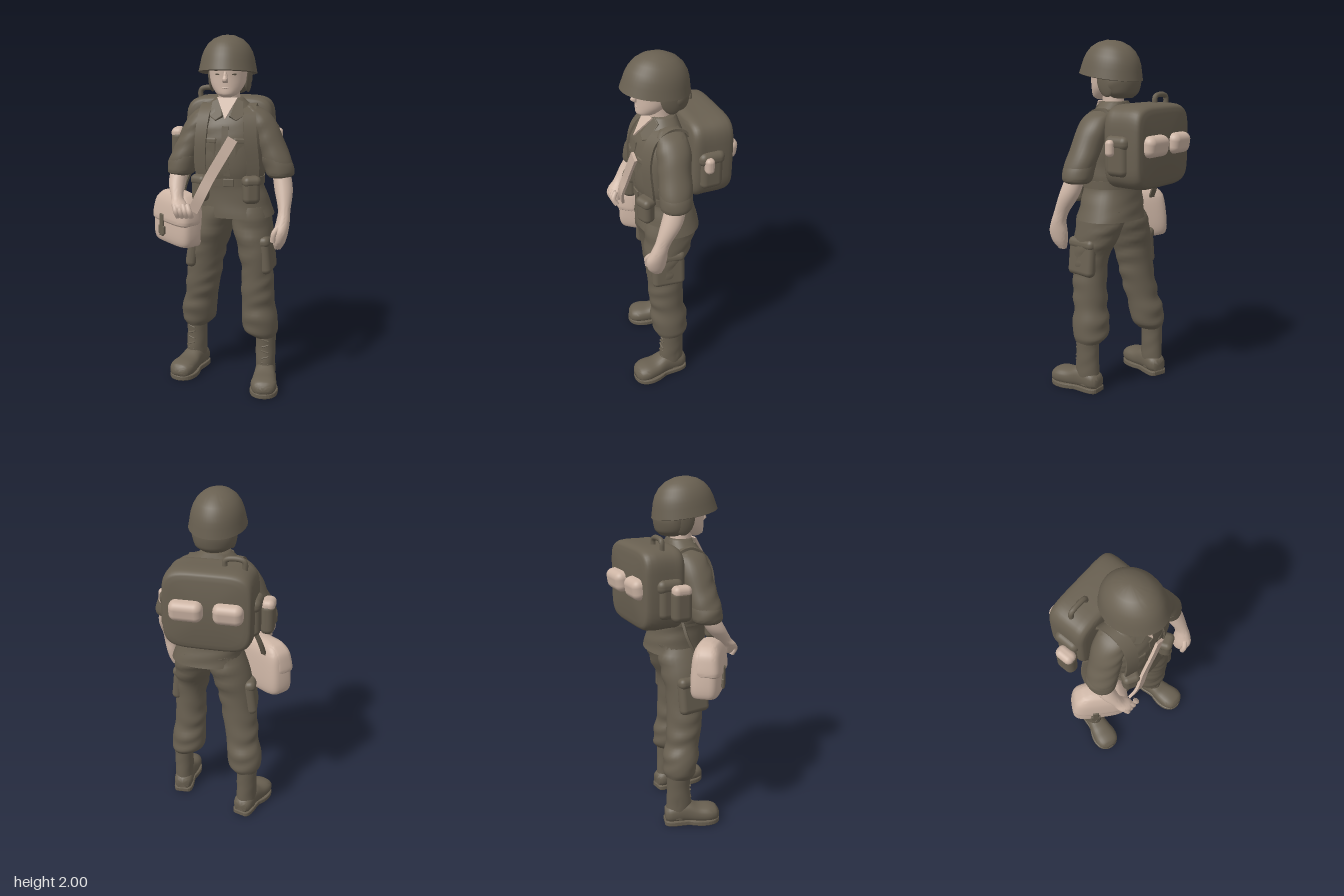
import * as THREE from 'three';
import { toCreasedNormals } from 'three/addons/utils/BufferGeometryUtils.js';
import { RoundedBoxGeometry } from 'three/addons/geometries/RoundedBoxGeometry.js';

const V = (x, y, z) => new THREE.Vector3(x, y, z);
const material = (name, color) => Object.assign(new THREE.MeshStandardMaterial({ color }), { name });

// Closed skin over a list of equal-length rings
function skin(rings, crease = 0.8) {
  const n = rings[0].length, pos = [], idx = [];
  rings.forEach(r => r.forEach(p => pos.push(p.x, p.y, p.z)));
  for (let i = 0; i < rings.length - 1; i++) for (let j = 0; j < n; j++) {
    const a = i * n + j, c = i * n + (j + 1) % n;
    idx.push(a, a + n, c, a + n, c + n, c);
  }
  [0, rings.length - 1].forEach((k, end) => {
    const mid = rings[k].reduce((s, p) => s.add(p), V(0, 0, 0)).divideScalar(n);
    const m = pos.length / 3;
    pos.push(mid.x, mid.y, mid.z);
    for (let j = 0; j < n; j++) {
      const a = k * n + j, b = k * n + (j + 1) % n;
      end ? idx.push(m, b, a) : idx.push(m, a, b);
    }
  });
  const g = new THREE.BufferGeometry();
  g.setAttribute('position', new THREE.Float32BufferAttribute(pos, 3));
  g.setIndex(idx);
  return toCreasedNormals(g, crease);
}

// Smooth body through oval sections [x, y, z, rx, rz]; square > 2 makes it boxier, fold adds cloth creases
function loft(sections, { square = 2, fold = 0, steps = 5, sides = 28 } = {}) {
  const s = sections[0][1] < sections.at(-1)[1] ? sections : [...sections].reverse();
  const path = new THREE.CatmullRomCurve3(s.map(q => V(q[0], q[1], q[2])));
  const size = new THREE.CatmullRomCurve3(s.map(q => V(q[3], q[4], q[1])));
  const rings = [], N = (s.length - 1) * steps, pw = v => Math.sign(v) * Math.abs(v) ** (2 / square);
  for (let i = 0; i <= N; i++) {
    const c = path.getPoint(i / N), r = size.getPoint(i / N), ring = [];
    for (let j = 0; j < sides; j++) {
      const a = j / sides * Math.PI * 2;
      const k = 1 + fold * Math.sin(c.y * 55 + 3 * Math.sin(a + c.y * 7)) * (0.5 + 0.5 * Math.sin(a * 2 + c.y * 11));
      ring.push(V(c.x + pw(Math.cos(a)) * r.x * k, c.y, c.z + pw(Math.sin(a)) * r.y * k));
    }
    rings.push(ring);
  }
  return skin(rings, 1);
}

// Flat band along a path, widened along direction u
function band(points, u, width, thick) {
  const curve = new THREE.CatmullRomCurve3(points.map(p => V(...p))), rings = [];
  for (let i = 0; i <= 24; i++) {
    const c = curve.getPoint(i / 24), t = curve.getTangent(i / 24);
    const a = u.clone().normalize(), v = a.clone().cross(t).normalize().multiplyScalar(thick / 2);
    a.multiplyScalar(width / 2);
    rings.push([[1, 1], [-1, 1], [-1, -1], [1, -1]].map(([p, q]) => c.clone().addScaledVector(a, p).addScaledVector(v, q)));
  }
  return skin(rings);
}

const box = (w, h, d, r = 0.015) => new RoundedBoxGeometry(w, h, d, 4, r);
const ball = (rx, ry, rz) => new THREE.SphereGeometry(1, 28, 18).scale(rx, ry, rz);
const tube = (pts, r) => new THREE.TubeGeometry(new THREE.CatmullRomCurve3(pts.map(p => V(...p))), 20, r, 8);

export function createModel() {
  const root = new THREE.Group();
  const olive = material('olive cloth', 0x696051), flesh = material('skin', 0xd0b8a8);
  const canvas = material('pale canvas', 0xcdb5a5), dark = material('dark brown', 0x5f5648);
  const add = (name, geo, mat, p = [0, 0, 0], r = [0, 0, 0], parent = root) => {
    const m = new THREE.Mesh(geo, mat);
    m.name = name; m.position.set(...p); m.rotation.set(...r);
    parent.add(m);
    return m;
  };
  const group = (name, p, ry) => {
    const g = new THREE.Group();
    g.name = name; g.position.set(...p); g.rotation.y = ry;
    root.add(g);
    return g;
  };

  // Helmet, head and hair
  const bowl = [[0, 0.015], [0.135, -0.005], [0.15, -0.024], [0.16, -0.02], [0.156, 0], [0.15, 0.03], [0.144, 0.06], [0.132, 0.095],
    [0.111, 0.13], [0.08, 0.158], [0.04, 0.176], [0, 0.181]].map(p => new THREE.Vector2(...p));
  add('helmet', toCreasedNormals(new THREE.LatheGeometry(bowl, 48).scale(1, 1, 1.2), 0.9), olive, [0.036, 1.82, 0.08], [-0.13, 0, 0]);
  add('head', loft([[0.04, 1.672, 0.142, 0.025, 0.03], [0.04, 1.687, 0.133, 0.055, 0.06], [0.04, 1.73, 0.104, 0.088, 0.09],
    [0.04, 1.78, 0.078, 0.103, 0.117], [0.04, 1.84, 0.072, 0.107, 0.125], [0.04, 1.88, 0.07, 0.09, 0.11]]), flesh);
  add('nose', loft([[0.04, 1.752, 0.194, 0.014, 0.012], [0.04, 1.765, 0.204, 0.016, 0.018], [0.04, 1.79, 0.193, 0.011, 0.016],
    [0.04, 1.825, 0.181, 0.009, 0.012]]), flesh);
  add('lips', ball(0.026, 0.009, 0.012), flesh, [0.04, 1.725, 0.184]);
  for (const s of [-1, 1]) {
    add('eye', ball(0.017, 0.007, 0.004), dark, [0.04 + s * 0.042, 1.796, 0.182], [0, s * 0.4, 0]);
    add('brow', ball(0.024, 0.005, 0.004), dark, [0.04 + s * 0.044, 1.818, 0.184], [0, s * 0.4, -s * 0.1]);
    add('sideHair', ball(0.02, 0.085, 0.058), olive, [0.04 + s * 0.1, 1.775, 0.038], [0.25, 0, 0]);
  }
  add('hair', loft([[0.04, 1.685, -0.008, 0.065, 0.05], [0.04, 1.71, -0.003, 0.103, 0.082], [0.04, 1.77, 0, 0.118, 0.097],
    [0.04, 1.84, 0.01, 0.118, 0.1]], { fold: 0.03 }), olive);
  add('neck', loft([[0.04, 1.56, 0.06, 0.075, 0.07], [0.04, 1.64, 0.06, 0.062, 0.062], [0.04, 1.73, 0.07, 0.06, 0.06]]), flesh);

  // Jacket with belt, collar, pockets and placket
  add('jacket', loft([[0.09, 1.01, 0.042, 0.206, 0.17], [0.075, 1.1, 0.047, 0.19, 0.157], [0.055, 1.19, 0.053, 0.178, 0.148],
    [0.045, 1.27, 0.064, 0.194, 0.154], [0.04, 1.4, 0.073, 0.204, 0.145], [0.04, 1.5, 0.072, 0.196, 0.132], [0.04, 1.58, 0.06, 0.168, 0.107],
    [0.04, 1.63, 0.053, 0.115, 0.084], [0.04, 1.665, 0.048, 0.076, 0.068]], { square: 2.3, fold: 0.015, sides: 40 }), olive);
  add('belt', loft([[0.057, 1.19, 0.053, 0.184, 0.155], [0.055, 1.235, 0.055, 0.187, 0.156]], { square: 2.3, sides: 40 }), olive);
  add('buckle', box(0.06, 0.045, 0.014, 0.005), olive, [0.06, 1.212, 0.211]);
  add('placket', band([[0.052, 1.25, 0.211], [0.045, 1.33, 0.217], [0.04, 1.4, 0.218], [0.04, 1.52, 0.2]], V(1, 0, 0), 0.035, 0.01), olive);
  const throat = new THREE.Shape([[-0.056, 0.07], [0, -0.068], [0.056, 0.07]].map(p => new THREE.Vector2(...p)));
  add('throat', new THREE.ExtrudeGeometry(throat, { depth: 0.009, bevelEnabled: false }), flesh, [0.04, 1.608, 0.164], [-0.66, 0, 0]);
  const lapel = new THREE.Shape([[0.042, 0.07], [0.085, 0.055], [0.092, -0.03], [0.056, -0.062], [0.021, -0.042]].map(p => new THREE.Vector2(...p)));
  for (const s of [-1, 1]) {
    const collar = add('collar', new THREE.ExtrudeGeometry(lapel, { depth: 0.012, bevelSize: 0.004, bevelThickness: 0.004, bevelSegments: 2 }),
      olive, [0.04, 1.605, 0.15], [-0.62, s * 0.3, 0]);
    if (s < 0) collar.geometry.rotateY(Math.PI).translate(0, 0, 0.012);
    add('chestPocket', box(0.115, 0.12, 0.026), olive, [0.04 + s * 0.1, 1.385, 0.19], [0, s * 0.3, 0]);
    add('pocketFlap', box(0.122, 0.04, 0.034), olive, [0.04 + s * 0.1, 1.44, 0.187], [-0.08, s * 0.3, 0]);
    // Pack harness over each shoulder
    add('packStrap', band([[0.04 + s * 0.13, 1.5, -0.07], [0.04 + s * 0.12, 1.605, -0.01], [0.04 + s * 0.12, 1.625, 0.07], [0.04 + s * 0.125, 1.57, 0.154],
      [0.04 + s * 0.135, 1.46, 0.191], [0.045 + s * 0.145, 1.3, 0.187], [0.05 + s * 0.135, 1.21, 0.176]], V(1, 0, -0.35 * s), 0.07, 0.014), olive);
    // Sleeve with rolled cuff
    const q = a => a.map(([x, ...rest]) => [0.05 + s * x, ...rest]);
    add('sleeve', loft(q([[0.28, 1.25, 0.088, 0.07, 0.078], [0.266, 1.32, 0.085, 0.081, 0.088], [0.22, 1.42, 0.072, 0.083, 0.09],
      [0.173, 1.53, 0.06, 0.081, 0.09], [0.135, 1.59, 0.056, 0.065, 0.08], [0.1, 1.625, 0.053, 0.03, 0.05]]), { fold: 0.035 }), olive);
    add('cuff', loft(q([[0.28, 1.235, 0.092, 0.062, 0.07], [0.28, 1.25, 0.09, 0.077, 0.085], [0.27, 1.3, 0.086, 0.084, 0.09],
      [0.252, 1.345, 0.083, 0.083, 0.088]]), { fold: 0.03 }), olive);
  }

  // Bare forearms and hands
  add('leftForearm', loft([[0.335, 1.28, 0.09, 0.05, 0.055], [0.355, 1.17, 0.125, 0.051, 0.06], [0.365, 1.06, 0.18, 0.034, 0.045],
    [0.362, 1.01, 0.2, 0.037, 0.047], [0.352, 0.95, 0.212, 0.04, 0.058], [0.342, 0.89, 0.21, 0.034, 0.048], [0.335, 0.85, 0.2, 0.018, 0.026]]), flesh);
  add('leftThumb', tube([[0.35, 0.99, 0.23], [0.32, 0.95, 0.255], [0.312, 0.9, 0.25]], 0.016), flesh);
  add('rightForearm', loft([[-0.235, 1.28, 0.09, 0.05, 0.055], [-0.243, 1.19, 0.14, 0.047, 0.055], [-0.23, 1.12, 0.2, 0.034, 0.042],
    [-0.21, 1.08, 0.24, 0.045, 0.042], [-0.19, 1.03, 0.245, 0.03, 0.03]]), flesh);
  for (let i = 0; i < 4; i++)
    add('rightFinger', tube([[-0.235 + i * 0.024, 1.09, 0.255], [-0.222 + i * 0.025, 1.055, 0.275], [-0.212 + i * 0.025, 1.02, 0.26]], 0.015), flesh);

  // Trousers gathered above the boots
  add('leftTrouser', loft([[0.255, 0.295, 0.085, 0.066, 0.08], [0.232, 0.33, 0.085, 0.099, 0.102], [0.225, 0.41, 0.088, 0.104, 0.107],
    [0.218, 0.5, 0.095, 0.094, 0.098], [0.214, 0.58, 0.102, 0.096, 0.102], [0.212, 0.68, 0.104, 0.09, 0.103], [0.203, 0.8, 0.103, 0.1, 0.113],
    [0.178, 0.94, 0.068, 0.115, 0.142], [0.165, 1.07, 0.05, 0.11, 0.145]], { fold: 0.05 }), olive);
  add('rightTrouser', loft([[-0.17, 0.295, -0.05, 0.066, 0.078], [-0.16, 0.335, -0.045, 0.098, 0.094], [-0.152, 0.42, -0.033, 0.104, 0.102],
    [-0.135, 0.5, -0.015, 0.096, 0.098], [-0.125, 0.58, 0, 0.102, 0.102], [-0.108, 0.68, 0.012, 0.102, 0.105], [-0.09, 0.8, 0.025, 0.11, 0.115],
    [-0.05, 0.94, 0.035, 0.118, 0.142], [0, 1.07, 0.045, 0.11, 0.145]], { fold: 0.05 }), olive);
  for (const [x, z, t, r] of [[0.268, 0.11, 0.1, -0.12], [-0.174, 0.035, -0.14, 0.12]]) {
    add('cargoPocket', box(0.064, 0.2, 0.19, 0.03), olive, [x, 0.79, z], [0, r, t]);
    add('cargoFlap', box(0.07, 0.065, 0.196, 0.03), olive, [x * 0.98, 0.875, z], [0, r, t]);
  }

  // Boots
  for (const [name, p, ry] of [['leftBoot', [0.262, 0, 0.08], 0.06], ['rightBoot', [-0.175, 0, -0.065], -0.32]]) {
    const boot = group(name, p, ry);
    add('shaft', loft([[0, 0.04, 0, 0.056, 0.07], [0, 0.13, 0.007, 0.057, 0.075], [0, 0.22, 0.004, 0.058, 0.068], [0, 0.33, 0.004, 0.061, 0.071]],
      { fold: 0.02 }), olive, undefined, undefined, boot);
    add('foot', loft([[0, -0.075, -0.06, 0.04, 0.04], [0, -0.05, -0.065, 0.056, 0.052], [0, 0.05, -0.075, 0.058, 0.065], [0, 0.12, -0.06, 0.068, 0.052],
      [0, 0.19, -0.057, 0.074, 0.048], [0, 0.23, -0.052, 0.058, 0.038], [0, 0.247, -0.045, 0.03, 0.02]], { square: 2.4 }),
      olive, undefined, [Math.PI / 2, 0, 0], boot);
    const sole = new THREE.Shape().moveTo(-0.035, -0.074);
    sole.bezierCurveTo(-0.07, -0.06, -0.048, 0.03, -0.053, 0.07).bezierCurveTo(-0.095, 0.16, -0.075, 0.245, 0, 0.246);
    sole.bezierCurveTo(0.075, 0.245, 0.095, 0.16, 0.053, 0.07).bezierCurveTo(0.048, 0.03, 0.07, -0.06, 0.035, -0.074);
    add('sole', new THREE.ExtrudeGeometry(sole, { depth: 0.018, bevelSize: 0.006, bevelThickness: 0.006, bevelSegments: 2 }),
      olive, [0, 0.024, 0], [Math.PI / 2, 0, 0], boot);
    for (let i = 0; i < 5; i++)
      add('lace', box(0.045, 0.009, 0.012, 0.004), olive, [0, 0.14 + i * 0.035, 0.074 - i * 0.001], [0, 0, i % 2 ? 0.3 : -0.3], boot);
  }

  // Backpack with rounded shoulders, carry handle, back flaps and side pouches
  const pack = [[-0.28, 0.2, 0.18], [-0.271, 0.235, 0.212], [-0.24, 0.248, 0.228], [-0.12, 0.25, 0.229],
    [-0.07, 0.25, 0.228], [-0.045, 0.235, 0.212], [-0.038, 0.21, 0.187]];
  add('backpack', loft(pack.map(([z, w, h]) => [0.02, z, -1.43, w, h]), { square: 5, sides: 48, steps: 3 }), olive, undefined, [Math.PI / 2, 0, 0]);
  add('carryHandle', tube([[-0.165, 1.64, -0.155], [-0.16, 1.69, -0.155], [-0.11, 1.702, -0.155], [-0.06, 1.69, -0.155], [-0.055, 1.64, -0.155]], 0.015), olive);
  for (const [x, w, z] of [[-0.103, 0.165, -0.278], [0.125, 0.185, -0.283]])
    add('backFlap', box(w, 0.115, 0.095, 0.04), canvas, [x, 1.442, z], [-0.16, 0, 0]);
  for (const s of [-1, 1]) {
    add('sidePouch', box(0.07, 0.2, 0.13, 0.034), olive, [0.02 + s * 0.24, 1.38, -0.14]);
    add('sidePouchFlap', box(0.078, 0.08, 0.15, 0.036), olive, [0.02 + s * 0.24, 1.46, -0.14]);
  }
  add('sideTab', box(0.06, 0.09, 0.05, 0.022), canvas, [0.294, 1.435, -0.115]);
  add('canteen', box(0.075, 0.18, 0.115, 0.034), olive, [-0.284, 1.365, -0.1]);
  add('canteenTop', box(0.074, 0.065, 0.108, 0.03), canvas, [-0.286, 1.443, -0.1]);

  // Belt pouches
  for (const [x, z, r] of [[0.185, 0.205, 0.4], [-0.1, 0.188, -0.5]]) {
    add('beltPouch', box(0.095, 0.15, 0.075, 0.03), olive, [x, 1.175, z], [0, r, 0]);
    add('beltPouchFlap', box(0.102, 0.06, 0.082, 0.028), olive, [x, 1.222, z], [0, r, 0]);
  }

  // Satchel, wider at the base with a rounded top, its hanger and chest strap
  const bag = group('satchel', [-0.25, 0.98, 0.088], -0.7);
  bag.rotation.z = -0.05;
  add('satchelBody', loft([[0, -0.15, 0, 0.12, 0.055], [0, -0.143, 0, 0.145, 0.072], [0, -0.11, 0, 0.158, 0.082], [0, 0.02, 0, 0.156, 0.08],
    [0, 0.1, 0, 0.142, 0.07], [0, 0.14, 0, 0.105, 0.052], [0, 0.152, 0, 0.06, 0.03]], { square: 4, sides: 40 }), canvas, undefined, undefined, bag);
  add('satchelFlap', loft([[0, -0.02, 0.014, 0.153, 0.074], [0, -0.01, 0.014, 0.16, 0.08], [0, 0.05, 0.012, 0.156, 0.078], [0, 0.105, 0.008, 0.142, 0.07],
    [0, 0.146, 0.004, 0.1, 0.05], [0, 0.158, 0, 0.055, 0.028]], { square: 4, sides: 40 }), canvas, undefined, undefined, bag);
  add('satchelTab', box(0.035, 0.13, 0.014, 0.006), olive, [-0.035, -0.04, 0.094], undefined, bag);
  add('satchelBuckle', box(0.055, 0.05, 0.016, 0.006), olive, [-0.035, -0.07, 0.093], undefined, bag);
  add('satchelHanger', band([[-0.25, 1.08, 0.0], [-0.235, 1.16, -0.035], [-0.2, 1.25, -0.05]], V(1, 0, 0.6), 0.03, 0.014), olive);
  add('satchelStrap', band([[0.085, 1.455, 0.226], [0.03, 1.36, 0.232], [-0.04, 1.24, 0.236], [-0.09, 1.14, 0.245], [-0.135, 1.05, 0.23]],
    V(0.87, -0.5, 0), 0.058, 0.016), canvas);
  return root;
}
